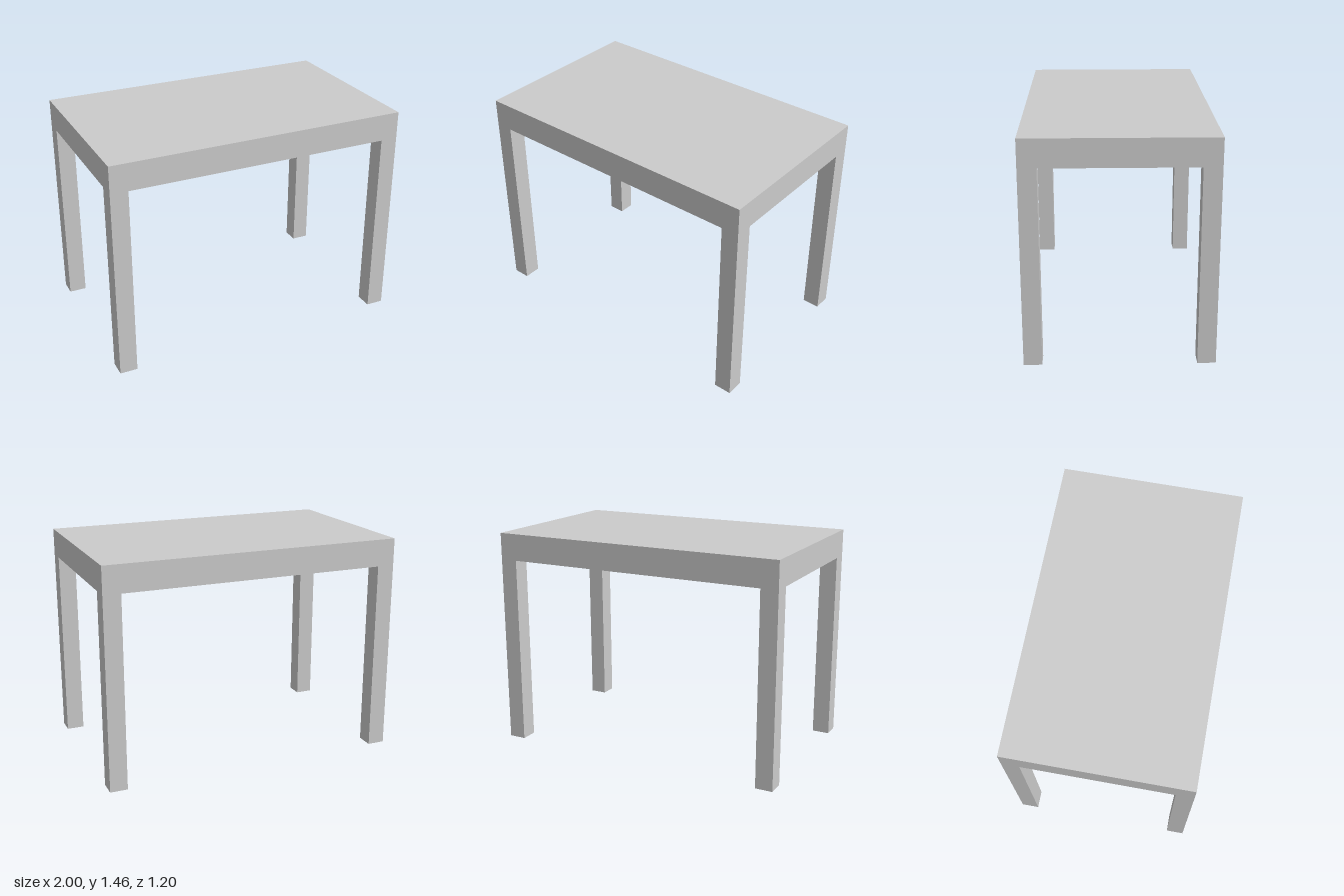
import * as THREE from 'three';

const WIDTH = 2, DEPTH = 1.2, HEIGHT = 1.46;
const LEG = 0.116, LEG_HEIGHT = 1.28;

export function createModel() {
  const table = new THREE.Group();
  table.name = 'table';
  const material = new THREE.MeshStandardMaterial({ color: 0xcccccc });

  // Thick solid top slab
  const thickness = HEIGHT - LEG_HEIGHT;
  const top = new THREE.Mesh(new THREE.BoxGeometry(WIDTH, thickness, DEPTH), material);
  top.name = 'tableTop';
  top.position.y = LEG_HEIGHT + thickness / 2;
  table.add(top);

  // Four square legs, flush with the corners of the top
  const legGeometry = new THREE.BoxGeometry(LEG, LEG_HEIGHT, LEG);
  for (const [zName, z] of [['front', 1], ['back', -1]]) {
    for (const [xName, x] of [['Left', 1], ['Right', -1]]) {
      const leg = new THREE.Mesh(legGeometry, material);
      leg.name = `${zName}${xName}Leg`;
      leg.position.set(x * (WIDTH - LEG) / 2, LEG_HEIGHT / 2, z * (DEPTH - LEG) / 2);
      table.add(leg);
    }
  }
  return table;
}
